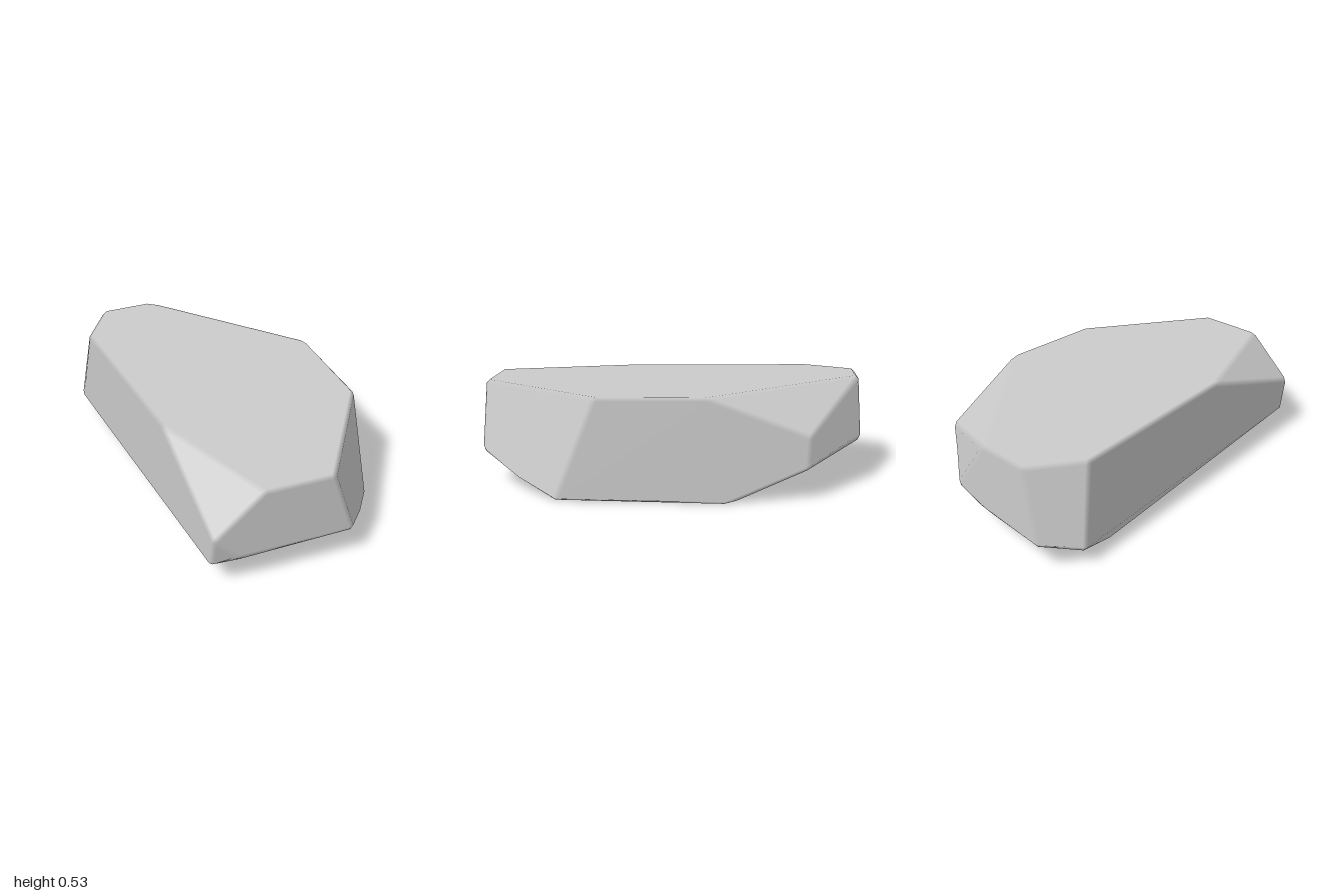
import * as THREE from 'three';

// Corners of the faceted boulder
const corners = {
  // rim of the flat top
  t0: [-0.39, 0.53, -1], t1: [-0.555, 0.525, -0.73], t2: [-0.45, 0.525, 0.3], t3: [-0.18, 0.535, 1],
  t4: [0.17, 0.535, 1], t5: [0.595, 0.53, 0.35], t6: [0.585, 0.535, -0.2], t7: [-0.12, 0.535, -1],
  // shoulders
  p: [-0.435, 0.31, 1], k: [0.1, 0.24, -1], l0: [0.49, 0.16, -0.71], l1: [0.49, 0.33, -0.72],
  i: [-0.475, 0.135, -1], j: [-0.61, 0.09, -0.81],
  // rim of the underside
  a: [-0.51, -0.008, -0.57], b: [-0.435, 0.13, 0.96], c: [-0.3, 0.18, 1], d: [0.29, 0.18, 1],
  e: [0.455, 0.065, 0.78], f: [0.598, -0.004, 0.56], g: [0.59, -0.004, -0.3], h: [-0.1, 0.175, -1],
};

// Each facet is fanned from its first corner
const facets = [
  't0 t1 t2 t3 t4 t5 t6 t7',  // top
  't3 p c d t4',              // front
  't2 p t3',                  // front right slope
  'p b c',                    // front right chip
  't4 d e f t5',              // front left slope
  't6 t5 f g l0 l1',          // left side
  't6 l1 t7',                 // back left slope
  't7 l1 l0 k',               // back left corner
  'l0 g h k',                 // back left undercut
  't0 t7 k h i',              // back
  't0 i j t1',                // back right corner
  'a h i j',                  // back right undercut
  'j a b p t2 t1',            // right side
  'h a b c d e f g',          // underside
];

// Bevels a closed polyhedron: inset facets, joined by edge strips and corner caps
function bevelledGeometry(points, faceLists, width) {
  const pos = [], nor = [];
  const centre = new THREE.Vector3(0, 0.3, 0);
  const v = {};
  for (const key in points) v[key] = new THREE.Vector3(...points[key]);

  const tri = (...cs) => cs.forEach(([p, n]) => { pos.push(p.x, p.y, p.z); nor.push(n.x, n.y, n.z); });
  const fan = (cs) => { for (let n = 1; n < cs.length - 1; n++) tri(cs[0], cs[n], cs[n + 1]); };

  const owner = {}; // directed edge -> facet on its left
  const faces = faceLists.map((text) => {
    let loop = text.split(' ');
    const normal = new THREE.Vector3(), mid = new THREE.Vector3();
    loop.forEach((key, n) => {
      normal.add(v[key].clone().cross(v[loop[(n + 1) % loop.length]]));
      mid.addScaledVector(v[key], 1 / loop.length);
    });
    normal.normalize();
    if (normal.dot(mid.sub(centre)) < 0) {
      normal.negate();
      loop = [loop[0], ...loop.slice(1).reverse()];
    }
    const face = { loop, normal, prev: {}, inset: {} };
    loop.forEach((key, n) => {
      const next = loop[(n + 1) % loop.length];
      const prev = loop[(n + loop.length - 1) % loop.length];
      const d1 = v[next].clone().sub(v[key]).normalize();
      const d2 = v[prev].clone().sub(v[key]).normalize();
      const sine = d1.clone().cross(d2).length();
      face.prev[key] = prev;
      face.inset[key] = [v[key].clone().addScaledVector(d1.add(d2), width / sine), normal];
      owner[key + ' ' + next] = face;
    });
    return face;
  });

  // facets
  faces.forEach((face) => fan(face.loop.map((key) => face.inset[key])));
  // edge strips
  for (const edge in owner) {
    const [a, b] = edge.split(' ');
    if (a > b) continue;
    const f = owner[edge], g = owner[b + ' ' + a];
    fan([f.inset[b], f.inset[a], g.inset[a], g.inset[b]]);
  }
  // corner caps
  for (const key in v) {
    const start = faces.find((face) => face.inset[key]);
    const ring = [];
    let face = start;
    do {
      ring.push(face.inset[key]);
      face = owner[key + ' ' + face.prev[key]];
    } while (face !== start);
    fan(ring);
  }

  const geometry = new THREE.BufferGeometry();
  geometry.setAttribute('position', new THREE.Float32BufferAttribute(pos, 3));
  geometry.setAttribute('normal', new THREE.Float32BufferAttribute(nor, 3));
  return geometry;
}

export function createModel() {
  const group = new THREE.Group();
  group.name = 'rock';
  const boulder = new THREE.Mesh(
    bevelledGeometry(corners, facets, 0.018),
    new THREE.MeshStandardMaterial({ color: 0xcccccc }),
  );
  boulder.name = 'boulder';
  group.add(boulder);
  return group;
}
